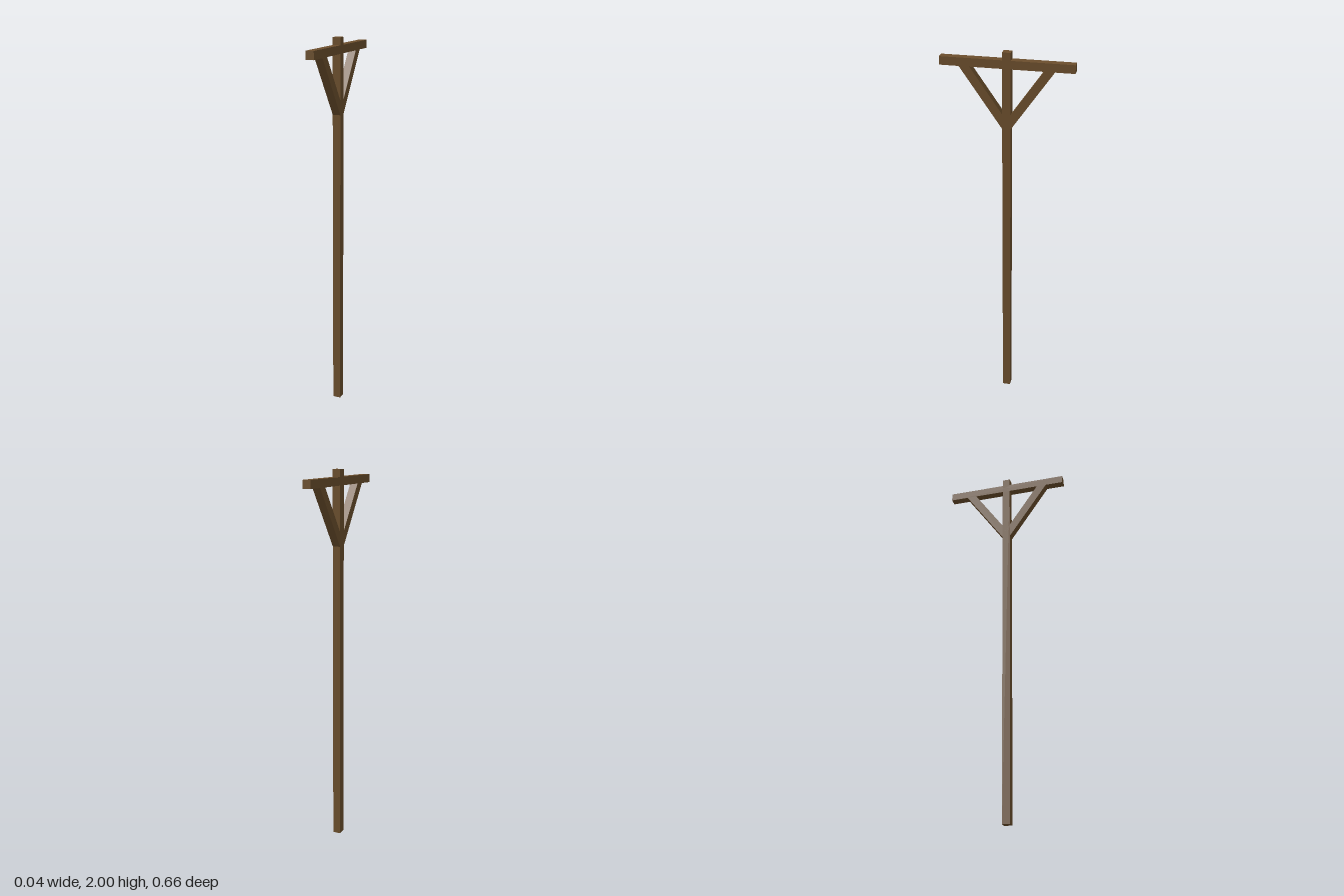
import * as THREE from 'three';

export function createModel() {
  const group = new THREE.Group();
  const wood = new THREE.MeshStandardMaterial({ color: 0x6b4e2c });
  wood.name = 'brown wood';
  const thick = 0.042;

  const add = (name, geometry, y = 0) => {
    const mesh = new THREE.Mesh(geometry, wood);
    mesh.name = name;
    mesh.position.y = y;
    group.add(mesh);
    return mesh;
  };

  // Upright post and the beam across its top
  add('post', new THREE.BoxGeometry(thick, 2, thick), 1);
  add('crossbeam', new THREE.BoxGeometry(thick, thick, 0.664), 1.941);

  // Slanted brace, drawn in the side plane: foot on the post, head cut flush under the beam
  const profile = new THREE.Shape([
    [0.018, 1.61], [0.235, 1.92], [0.182, 1.92], [0, 1.66], [0, 1.61],
  ].map(([z, y]) => new THREE.Vector2(z, y)));
  const braceGeometry = new THREE.ExtrudeGeometry(profile, { depth: thick, bevelEnabled: false });
  braceGeometry.translate(0, 0, -thick / 2).rotateY(-Math.PI / 2);
  add('frontBrace', braceGeometry);
  add('backBrace', braceGeometry).rotation.y = Math.PI;

  return group;
}
